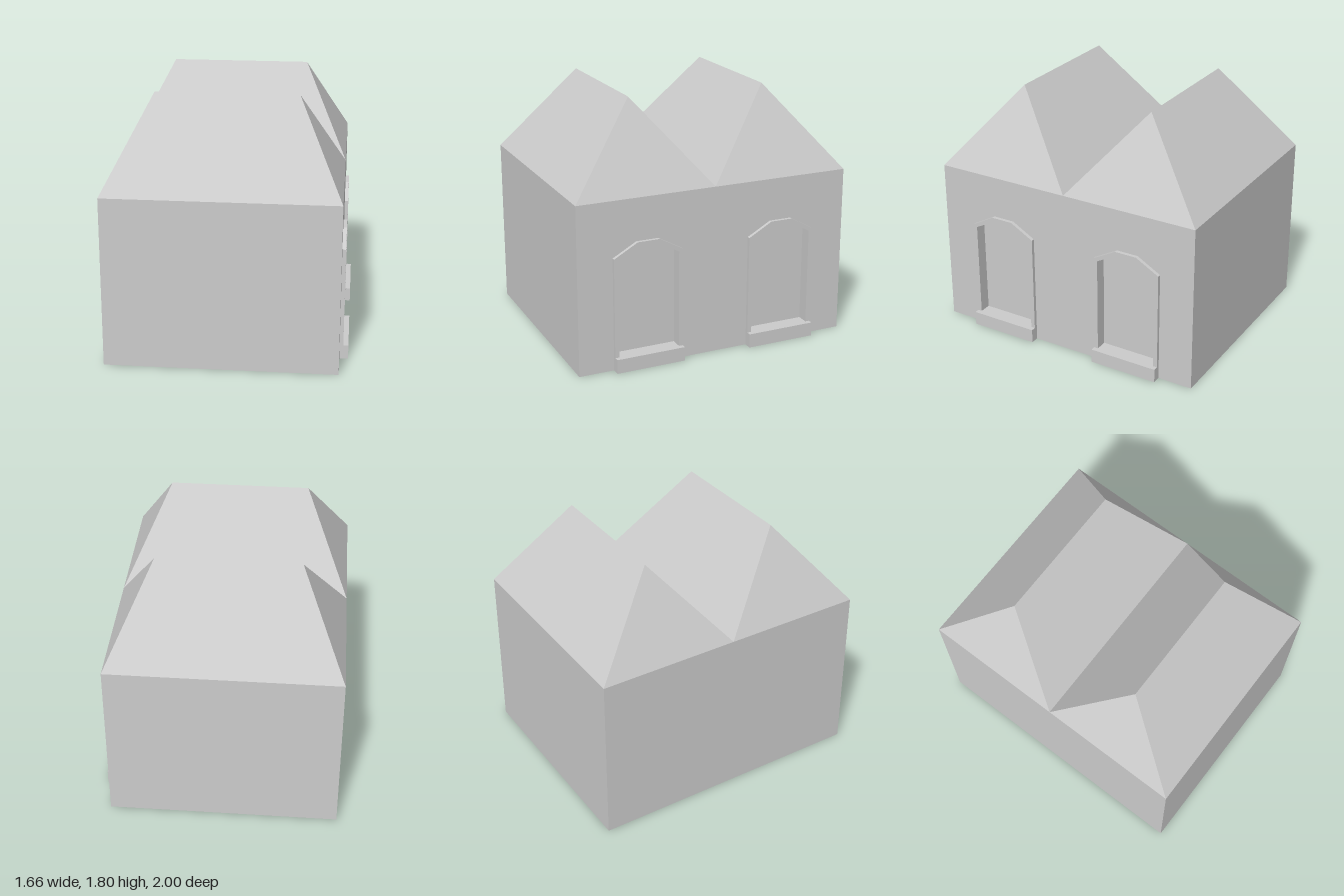
import * as THREE from 'three';

const material = new THREE.MeshStandardMaterial({ color: 0xcccccc, flatShading: true, side: THREE.DoubleSide });

const X0 = -0.83, X1 = 0.77, EAVE = 1.2, RIDGE = 1.8; // main extents
const RIDGE_X0 = -0.52, RIDGE_X1 = 0.46;
const RECESS_X = 0.71, FRAME_X = 0.795;

function mesh(name, geometry) {
  const m = new THREE.Mesh(geometry, material);
  m.name = name;
  return m;
}

// Surface from flat polygons (3 or 4 corners, counter-clockwise from outside)
function faces(polygons) {
  const pos = [];
  for (const p of polygons)
    for (let i = 1; i < p.length - 1; i++) pos.push(...p[0], ...p[i], ...p[i + 1]);
  const g = new THREE.BufferGeometry();
  g.setAttribute('position', new THREE.Float32BufferAttribute(pos, 3));
  g.computeVertexNormals();
  return g;
}

// Clipped-arch outline around u = c, in the plane of the side wall
function archPoints(c, half, bottom, spring, top, topHalf) {
  return [[-half, bottom], [half, bottom], [half, spring], [topHalf, top], [-topHalf, top], [-half, spring]]
    .map(([u, y]) => new THREE.Vector2(c + u, y));
}
const innerArch = (c) => archPoints(c, 0.22, 0.1, 0.79, 0.872, 0.07);
const outerArch = (c) => archPoints(c, 0.25, 0.1, 0.805, 0.9, 0.08);

// Turn an (u, y) drawing to face +x at the given x
const toSide = (g, x) => g.rotateY(Math.PI / 2).translate(x, 0, 0);

function createDoorway(c) {
  const door = new THREE.Group();
  door.name = 'doorway';
  const inner = innerArch(c);

  // raised surround
  const surround = new THREE.Shape(outerArch(c));
  surround.holes.push(new THREE.Path(inner));
  door.add(mesh('doorSurround', toSide(
    new THREE.ExtrudeGeometry(surround, { depth: FRAME_X - X1, bevelEnabled: false }), X1)));

  // reveal running back into the wall
  const reveal = inner.map((a, i) => {
    const b = inner[(i + 1) % inner.length];
    return [[X1, a.y, -a.x], [X1, b.y, -b.x], [RECESS_X, b.y, -b.x], [RECESS_X, a.y, -a.x]];
  });
  door.add(mesh('doorReveal', faces(reveal)));

  // door panel closing the recess
  door.add(mesh('doorPanel', toSide(new THREE.ShapeGeometry(new THREE.Shape(inner)), RECESS_X)));

  // doorstep
  const step = mesh('doorstep', new THREE.BoxGeometry(0.06, 0.1, 0.5));
  step.position.set(X1 + 0.03, 0.05, -c);
  door.add(step);
  return door;
}

export function createModel() {
  const model = new THREE.Group();
  model.name = 'house';

  // plain walls: front, back and -x side; the underside is open
  model.add(mesh('walls', faces([
    [[X0, 0, 1], [X1, 0, 1], [X1, EAVE, 1], [X0, EAVE, 1]],
    [[X1, 0, -1], [X0, 0, -1], [X0, EAVE, -1], [X1, EAVE, -1]],
    [[X0, 0, -1], [X0, 0, 1], [X0, EAVE, 1], [X0, EAVE, -1]],
  ])));

  // entrance wall with two arched openings
  const wall = new THREE.Shape([[-1, 0], [1, 0], [1, EAVE], [-1, EAVE]].map((p) => new THREE.Vector2(...p)));
  for (const c of [-0.5, 0.5]) wall.holes.push(new THREE.Path(innerArch(c)));
  model.add(mesh('entranceWall', toSide(new THREE.ShapeGeometry(wall), X1)));

  // twin hipped roofs and their doorways
  for (const z of [0.5, -0.5]) {
    const n = z + 0.5, f = z - 0.5;
    const r0 = [RIDGE_X0, RIDGE, z], r1 = [RIDGE_X1, RIDGE, z];
    model.add(mesh('hippedRoof', faces([
      [[X0, EAVE, n], [X1, EAVE, n], r1, r0],
      [[X1, EAVE, f], [X0, EAVE, f], r0, r1],
      [[X1, EAVE, n], [X1, EAVE, f], r1],
      [[X0, EAVE, f], [X0, EAVE, n], r0],
    ])));
    model.add(createDoorway(-z));
  }
  return model;
}
